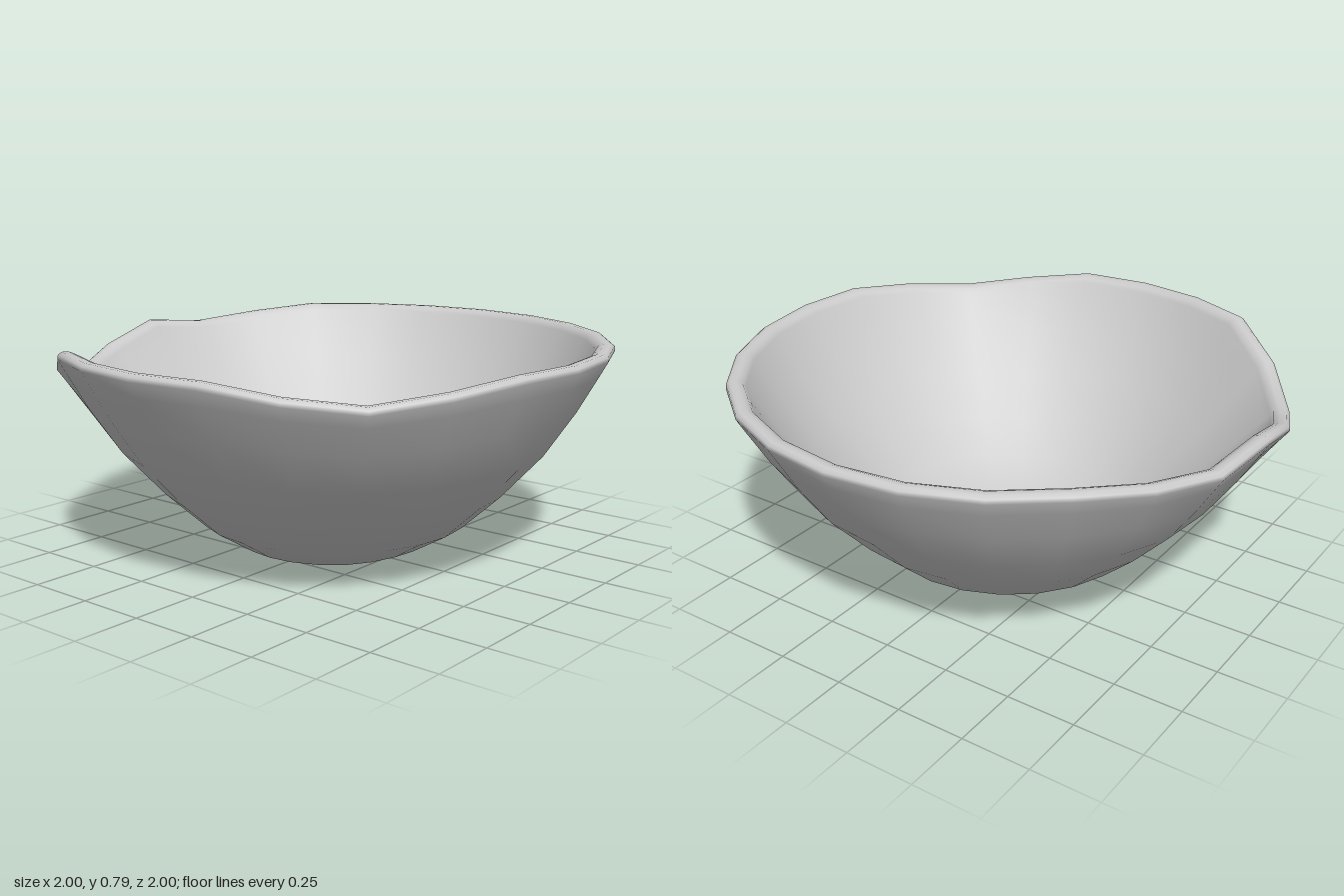
import * as THREE from 'three';
import { mergeVertices } from 'three/addons/utils/BufferGeometryUtils.js';

const SIDES = 24;
const STEP = (Math.PI * 2) / SIDES;
const BASE_RADIUS = 0.19;
const INNER_FLOOR = 0.08;

// How far the rim sinks at a given side (counted from +z towards +x)
const DIPS = {
  2: 0.035, 3: 0.06, 4: 0.03,
  21: 0.08, 20: 0.155, 19: 0.09, 18: 0.025, 17: 0.05, 16: 0.025,
};

// Outer wall, rounded lip, then inner wall down to the floor
const PROFILE = [
  [BASE_RADIUS, 0], [0.36, 0.037], [0.5, 0.125], [0.64, 0.255], [0.79, 0.42],
  [0.9, 0.585], [0.97, 0.71], [1, 0.765],
  [0.998, 0.78], [0.985, 0.79], [0.962, 0.79], [0.942, 0.782], [0.932, 0.765],
  [0.905, 0.715], [0.838, 0.6], [0.73, 0.45], [0.59, 0.3], [0.46, 0.184], [0.33, 0.109],
  [BASE_RADIUS, INNER_FLOOR],
].map(([r, y]) => new THREE.Vector2(r, y));

// Sag the rim at some sides, and lift the back left of the base a little
function deform(geometry) {
  const pos = geometry.attributes.position;
  for (let i = 0; i < pos.count; i++) {
    const x = pos.getX(i), y = pos.getY(i), z = pos.getZ(i);
    const side = (Math.round(Math.atan2(x, z) / STEP) + SIDES) % SIDES;
    const sag = (DIPS[side] || 0) * Math.pow(Math.min(1, Math.max(0, y) / 0.765), 2.6);
    const towards = THREE.MathUtils.clamp((x - z) / (Math.SQRT2 * BASE_RADIUS), 0, 1);
    const fade = 1 - THREE.MathUtils.smoothstep(Math.hypot(x, z), BASE_RADIUS, 0.5);
    pos.setY(i, y - sag + 0.015 * towards * fade);
  }
  return geometry;
}

export function createModel() {
  const group = new THREE.Group();
  group.name = 'bowl';
  const material = new THREE.MeshStandardMaterial({ color: 0xcccccc });

  const add = (name, geometry) => {
    geometry.computeVertexNormals();
    const mesh = new THREE.Mesh(geometry, material);
    mesh.name = name;
    group.add(mesh);
  };

  // Bowl wall, with its seam welded for smooth shading all round
  const wall = deform(new THREE.LatheGeometry(PROFILE, SIDES));
  wall.deleteAttribute('uv');
  wall.deleteAttribute('normal');
  add('wall', mergeVertices(wall, 1e-4));

  // Discs closing the underside and the inside floor
  const disc = (turn, y) => deform(
    new THREE.CircleGeometry(BASE_RADIUS, SIDES).rotateX(turn).translate(0, y, 0));
  add('foot', disc(Math.PI / 2, 0));
  add('innerFloor', disc(-Math.PI / 2, INNER_FLOOR));

  return group;
}
